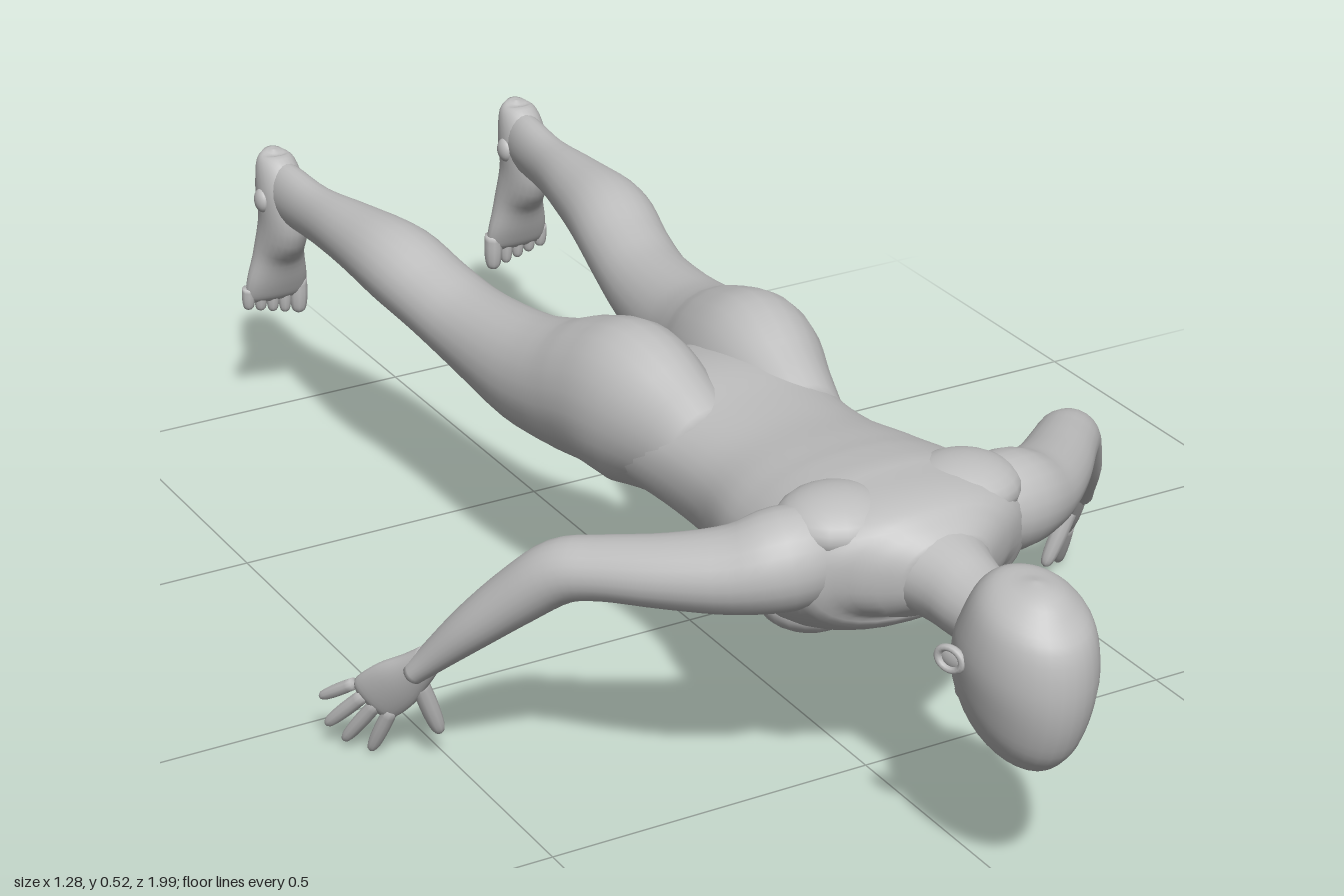
import * as THREE from 'three';

const skin = new THREE.MeshStandardMaterial({ color: 0xbebebe });
skin.name = 'plain grey';

const Y = [0, 1, 0], Z = [0, 0, 1];

// Smooth closed tube through rows of [x, y, z, halfWidth, halfHeight]; s mirrors x.
function loft(name, rows, { up = Y, s = 1, sides = 24, per = 4, power = 1 } = {}) {
  const path = new THREE.CatmullRomCurve3(rows.map(r => new THREE.Vector3(r[0] * s, r[1], r[2])), false, 'catmullrom', 0.5);
  const size = new THREE.CatmullRomCurve3(rows.map(r => new THREE.Vector3(r[3], r[4], 0)), false, 'catmullrom', 0.5);
  const upV = new THREE.Vector3(up[0] * s, up[1], up[2]);
  const n = (rows.length - 1) * per;
  const pos = [], idx = [];
  const bend = v => Math.sign(v) * Math.pow(Math.abs(v), power);
  for (let i = 0; i <= n; i++) {
    const c = path.getPoint(i / n), r = size.getPoint(i / n), t = path.getTangent(i / n);
    const side = upV.clone().cross(t).normalize();
    const top = t.clone().cross(side);
    for (let k = 0; k < sides; k++) {
      const a = k / sides * Math.PI * 2;
      const p = c.clone()
        .addScaledVector(side, bend(Math.cos(a)) * Math.max(r.x, 0.001))
        .addScaledVector(top, bend(Math.sin(a)) * Math.max(r.y, 0.001));
      pos.push(p.x, p.y, p.z);
    }
  }
  for (let i = 0; i < n; i++) for (let k = 0; k < sides; k++) {
    const a = i * sides + k, b = i * sides + (k + 1) % sides;
    idx.push(a, b, a + sides, b, b + sides, a + sides);
  }
  // end caps
  const first = pos.length / 3, ends = [path.getPoint(0), path.getPoint(1)];
  ends.forEach(e => pos.push(e.x, e.y, e.z));
  for (let k = 0; k < sides; k++) {
    const m = (k + 1) % sides, e = n * sides;
    idx.push(first, m, k, first + 1, e + k, e + m);
  }
  const g = new THREE.BufferGeometry();
  g.setAttribute('position', new THREE.Float32BufferAttribute(pos, 3));
  g.setIndex(idx);
  g.computeVertexNormals();
  const mesh = new THREE.Mesh(g, skin);
  mesh.name = name;
  return mesh;
}

function blob(name, x, y, z, rx, ry, rz) {
  const mesh = new THREE.Mesh(new THREE.SphereGeometry(1, 20, 14).scale(rx, ry, rz), skin);
  mesh.position.set(x, y, z);
  mesh.name = name;
  return mesh;
}

// Finger or toe with a rounded tip
function digit(name, a, b, r, s, up) {
  const at = (f, k) => [...a.map((v, i) => v + (b[i] - v) * f), r * k, r * k];
  return loft(name, [at(0, 1), at(0.45, 1.05), at(0.8, 0.9), at(0.95, 0.6), at(1, 0.1)], { up, s, sides: 10, per: 3 });
}

function makeHead() {
  const head = new THREE.Group();
  head.name = 'head';
  head.add(loft('skull', [
    [0, 0.478, 0.9, 0.004, 0.005], [0, 0.467, 0.899, 0.042, 0.052], [0, 0.435, 0.893, 0.073, 0.09],
    [0, 0.375, 0.886, 0.086, 0.113], [0, 0.32, 0.872, 0.081, 0.119], [0, 0.28, 0.856, 0.07, 0.112],
    [0, 0.252, 0.842, 0.053, 0.088], [0, 0.242, 0.838, 0.03, 0.055], [0, 0.24, 0.838, 0.003, 0.005],
  ], { up: Z, sides: 32 }));
  head.add(loft('nose', [
    [0, 0.25, 0.88, 0.006, 0.008], [0, 0.24, 0.855, 0.009, 0.012], [0, 0.234, 0.83, 0.014, 0.016],
    [0, 0.236, 0.816, 0.013, 0.013], [0, 0.24, 0.81, 0.003, 0.003],
  ], { sides: 14 }));
  head.add(blob('upperLip', 0, 0.244, 0.793, 0.024, 0.009, 0.007));
  head.add(blob('lowerLip', 0, 0.245, 0.781, 0.021, 0.009, 0.007));
  head.add(blob('chin', 0, 0.257, 0.762, 0.026, 0.02, 0.02));
  for (const s of [1, -1]) {
    head.add(blob('eye', 0.03 * s, 0.255, 0.862, 0.014, 0.011, 0.009));
    head.add(blob('brow', 0.03 * s, 0.26, 0.882, 0.025, 0.011, 0.009));
    const ear = new THREE.Group();
    ear.name = 'ear';
    const rim = new THREE.Mesh(new THREE.TorusGeometry(0.02, 0.006, 8, 20).scale(1, 0.8, 1), skin);
    rim.name = 'earRim';
    ear.add(rim, blob('earBowl', 0, 0, -0.004, 0.019, 0.015, 0.006));
    ear.position.set(0.091 * s, 0.362, 0.842);
    ear.rotation.y = s * (Math.PI / 2 - 0.35);
    head.add(ear);
  }
  return head;
}

function makeArm(s) {
  const arm = new THREE.Group();
  arm.name = s > 0 ? 'leftArm' : 'rightArm';
  arm.add(loft('armShaft', [
    [0.11, 0.41, 0.575, 0.06, 0.065], [0.18, 0.407, 0.565, 0.072, 0.072], [0.24, 0.393, 0.535, 0.067, 0.06],
    [0.31, 0.384, 0.48, 0.058, 0.05], [0.375, 0.376, 0.415, 0.05, 0.044], [0.415, 0.362, 0.372, 0.047, 0.045],
    [0.455, 0.315, 0.325, 0.045, 0.041], [0.5, 0.255, 0.275, 0.038, 0.033], [0.54, 0.192, 0.225, 0.027, 0.022],
    [0.555, 0.165, 0.203, 0.025, 0.018],
  ], { s }));
  const up = [0.69, -0.13, 0.59];
  arm.add(loft('palm', [
    [0.54, 0.195, 0.225, 0.02, 0.017], [0.555, 0.165, 0.2, 0.029, 0.018], [0.572, 0.135, 0.172, 0.039, 0.017],
    [0.588, 0.105, 0.143, 0.04, 0.014], [0.594, 0.094, 0.133, 0.03, 0.008],
  ], { up, s }));
  const fingers = [
    [[0.573, 0.09, 0.16], [0.587, 0.005, 0.115]], [[0.587, 0.098, 0.146], [0.615, 0.015, 0.086]],
    [[0.6, 0.106, 0.131], [0.634, 0.038, 0.07]], [[0.61, 0.12, 0.118], [0.638, 0.08, 0.062]],
  ];
  fingers.forEach(([a, b], i) => arm.add(digit('finger' + (i + 1), a, b, i === 3 ? 0.009 : 0.0105, s, up)));
  arm.add(digit('thumb', [0.55, 0.15, 0.2], [0.512, 0.048, 0.188], 0.013, s, up));
  return arm;
}

function makeLeg(s) {
  const leg = new THREE.Group();
  leg.name = s > 0 ? 'leftLeg' : 'rightLeg';
  // buttock, thigh and calf in one run
  leg.add(loft('legShaft', [
    [0.08, 0.37, 0.2, 0.065, 0.075], [0.088, 0.385, 0.12, 0.08, 0.1], [0.1, 0.397, 0.03, 0.099, 0.124],
    [0.108, 0.388, -0.05, 0.101, 0.114], [0.122, 0.37, -0.13, 0.092, 0.1], [0.138, 0.359, -0.23, 0.08, 0.088],
    [0.153, 0.367, -0.38, 0.07, 0.068], [0.168, 0.386, -0.48, 0.068, 0.062], [0.186, 0.41, -0.58, 0.068, 0.063],
    [0.198, 0.413, -0.7, 0.053, 0.053], [0.209, 0.409, -0.82, 0.036, 0.047], [0.216, 0.412, -0.92, 0.032, 0.05],
    [0.219, 0.415, -0.96, 0.025, 0.04],
  ], { s }));
  leg.add(loft('foot', [
    [0.22, 0.474, -0.963, 0.004, 0.004], [0.22, 0.462, -0.963, 0.028, 0.027], [0.22, 0.42, -0.946, 0.037, 0.049],
    [0.22, 0.36, -0.938, 0.036, 0.056], [0.22, 0.3, -0.96, 0.042, 0.036], [0.221, 0.25, -0.971, 0.052, 0.024],
    [0.221, 0.22, -0.978, 0.052, 0.016], [0.221, 0.208, -0.98, 0.044, 0.008],
  ], { up: Z, s }));
  for (const d of [-1, 1]) leg.add(blob('ankleBone', (0.22 + d * 0.034) * s, 0.4, -0.94, 0.012, 0.02, 0.018));
  for (let i = 0; i < 5; i++) {
    const x = 0.18 + i * 0.0215 + (i ? 0.003 : 0);
    leg.add(digit('toe' + (i + 1), [x, 0.235, -0.978], [x, 0.172 + i * 0.006, -0.982], i ? 0.0105 : 0.0145, s, Z));
  }
  return leg;
}

export function createModel() {
  const body = new THREE.Group();
  body.name = 'proneFigure';
  body.add(makeHead());
  body.add(loft('neck', [
    [0, 0.38, 0.86, 0.045, 0.045], [0, 0.383, 0.77, 0.056, 0.052], [0, 0.39, 0.71, 0.064, 0.06], [0, 0.4, 0.62, 0.1, 0.07],
  ]));
  body.add(loft('torso', [
    [0, 0.395, 0.7, 0.06, 0.05], [0, 0.398, 0.665, 0.115, 0.075], [0, 0.4, 0.62, 0.175, 0.092],
    [0, 0.384, 0.56, 0.193, 0.112], [0, 0.366, 0.48, 0.19, 0.121], [0, 0.363, 0.4, 0.178, 0.113],
    [0, 0.362, 0.3, 0.157, 0.101], [0, 0.363, 0.2, 0.156, 0.098], [0, 0.368, 0.1, 0.17, 0.098],
    [0, 0.366, 0.03, 0.182, 0.092], [0, 0.36, -0.03, 0.15, 0.08], [0, 0.355, -0.07, 0.06, 0.045],
  ], { sides: 36, power: 0.87 }));
  for (const s of [1, -1]) {
    body.add(blob('chestMuscle', 0.085 * s, 0.29, 0.48, 0.075, 0.046, 0.075));
    body.add(blob('shoulderBlade', 0.1 * s, 0.45, 0.57, 0.085, 0.045, 0.08));
    body.add(makeArm(s), makeLeg(s));
  }
  return body;
}
